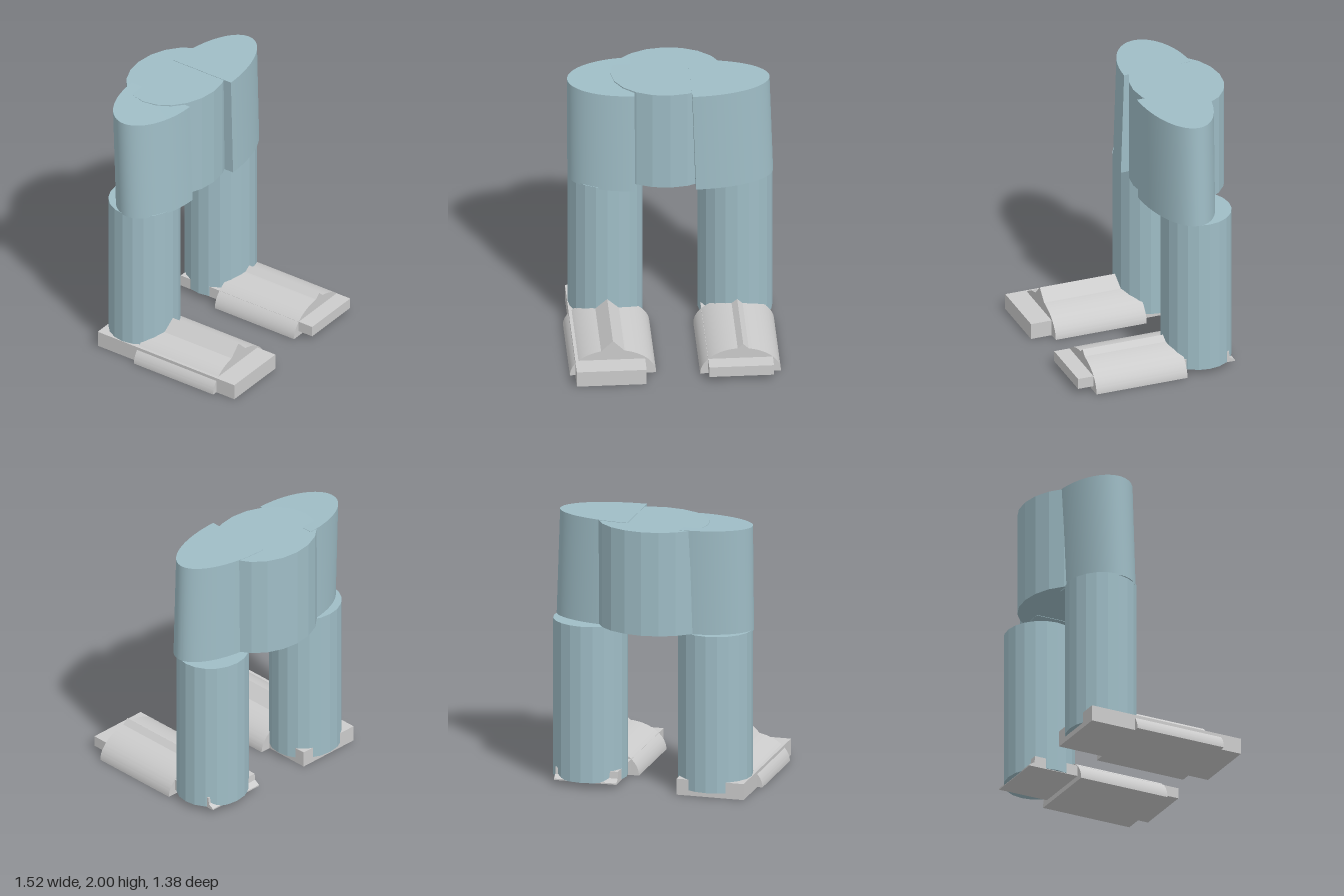
import * as THREE from 'three';
import { toCreasedNormals } from 'three/addons/utils/BufferGeometryUtils.js';

const blue = new THREE.MeshStandardMaterial({ color: 0x9fbdc6 });
const blueFlat = new THREE.MeshStandardMaterial({ color: 0x9fbdc6, flatShading: true });
const grey = new THREE.MeshStandardMaterial({ color: 0xcccccc });

function add(parent, name, geometry, material) {
  const mesh = new THREE.Mesh(geometry, material);
  mesh.name = name;
  parent.add(mesh);
  return mesh;
}

// Upright faceted column with an oval section
function column(parent, name, x, z, rx, rz, y0, y1) {
  const geo = new THREE.CylinderGeometry(1, 1, y1 - y0, 20);
  geo.scale(rx, 1, rz).translate(x, (y0 + y1) / 2, z);
  return add(parent, name, geo, blueFlat);
}

// Half-oval hip block, flat side at x, bulging towards side (+1 or -1), then sheared
function hip(parent, name, side, x, z, rx, rz, y0, y1, shear) {
  const shape = new THREE.Shape();
  const start = side > 0 ? -Math.PI / 2 : Math.PI / 2;
  shape.absellipse(0, 0, rx, rz, start, start + Math.PI, false);
  shape.closePath();
  let geo = new THREE.ExtrudeGeometry(shape, { depth: y1 - y0, bevelEnabled: false, curveSegments: 40 });
  geo.rotateX(-Math.PI / 2).translate(0, -(y1 - y0) / 2, 0);
  geo.applyMatrix4(shear).translate(x, (y0 + y1) / 2, z);
  geo = toCreasedNormals(geo, 0.6);
  return add(parent, name, geo, blue);
}

// Half-oval shoe upper with a pointed ridge along its top
function shoeUpper(parent, x, rx, ry, ridgeX, ridgeHalf, ridgeY, z0, z1) {
  const shape = new THREE.Shape();
  const a = Math.acos((ridgeX + ridgeHalf - x) / rx);
  const b = Math.acos((ridgeX - ridgeHalf - x) / rx);
  shape.moveTo(x + rx, 0);
  shape.absellipse(x, 0, rx, ry, 0, a, false);
  shape.lineTo(ridgeX, ridgeY);
  shape.absellipse(x, 0, rx, ry, b, Math.PI, false);
  shape.closePath();
  let geo = new THREE.ExtrudeGeometry(shape, { depth: z1 - z0, bevelEnabled: false, curveSegments: 16 });
  geo.translate(0, 0, z0);
  geo = toCreasedNormals(geo, 0.4);
  return add(parent, 'shoeUpper', geo, grey);
}

// Sole slab from a side profile of [z, y] points, extruded across x
function sole(parent, x0, x1, profile) {
  const shape = new THREE.Shape(profile.map(([z, y]) => new THREE.Vector2(-z, y)));
  const geo = new THREE.ExtrudeGeometry(shape, { depth: x1 - x0, bevelEnabled: false });
  geo.rotateY(Math.PI / 2).translate(x0, 0, 0);
  return add(parent, 'sole', geo, grey);
}

export function createModel() {
  const model = new THREE.Group();
  model.name = 'legsAndHips';

  // Hips: central column and two leaning half-ovals
  const hips = new THREE.Group();
  hips.name = 'hips';
  model.add(hips);
  column(hips, 'centralHip', 0, -0.355, 0.41, 0.335, 1.22, 1.997);
  const leanIn = new THREE.Matrix4().set(
    1, -0.033, 0, 0,
    0, 1, 0, 0,
    0, 0, 1, 0,
    0, 0, 0, 1);
  hip(hips, 'leftHip', 1, 0.172, -0.24, 0.574, 0.255, 1.217, 2.0, leanIn);
  const leanBack = new THREE.Matrix4().set(
    1, 0, 0, 0,
    0, 1, -0.03, 0,
    0, -0.032, 1, 0,
    0, 0, 0, 1);
  hip(hips, 'rightHip', -1, -0.255, -0.295, 0.47, 0.257, 1.205, 1.992, leanBack);

  // Legs
  column(model, 'leftLeg', 0.488, -0.313, 0.272, 0.255, 0.04, 1.213);
  column(model, 'rightLeg', -0.45, -0.313, 0.272, 0.255, 0.04, 1.215);

  // Left foot, its sole raised and thinning at the heel
  const leftFoot = new THREE.Group();
  leftFoot.name = 'leftFoot';
  model.add(leftFoot);
  sole(leftFoot, 0.232, 0.7, [[0.685, 0.04], [0.685, 0.12], [-0.485, 0.12], [-0.49, 0.07], [-0.53, 0.045], [-0.53, 0.035]]);
  shoeUpper(leftFoot, 0.467, 0.292, 0.2, 0.486, 0.04, 0.235, -0.14, 0.565);

  // Right foot
  const rightFoot = new THREE.Group();
  rightFoot.name = 'rightFoot';
  model.add(rightFoot);
  sole(rightFoot, -0.725, -0.22, [[0.685, 0], [0.685, 0.12], [-0.53, 0.12], [-0.53, 0]]);
  shoeUpper(rightFoot, -0.452, 0.312, 0.2, -0.453, 0.085, 0.275, -0.18, 0.525);

  return model;
}
